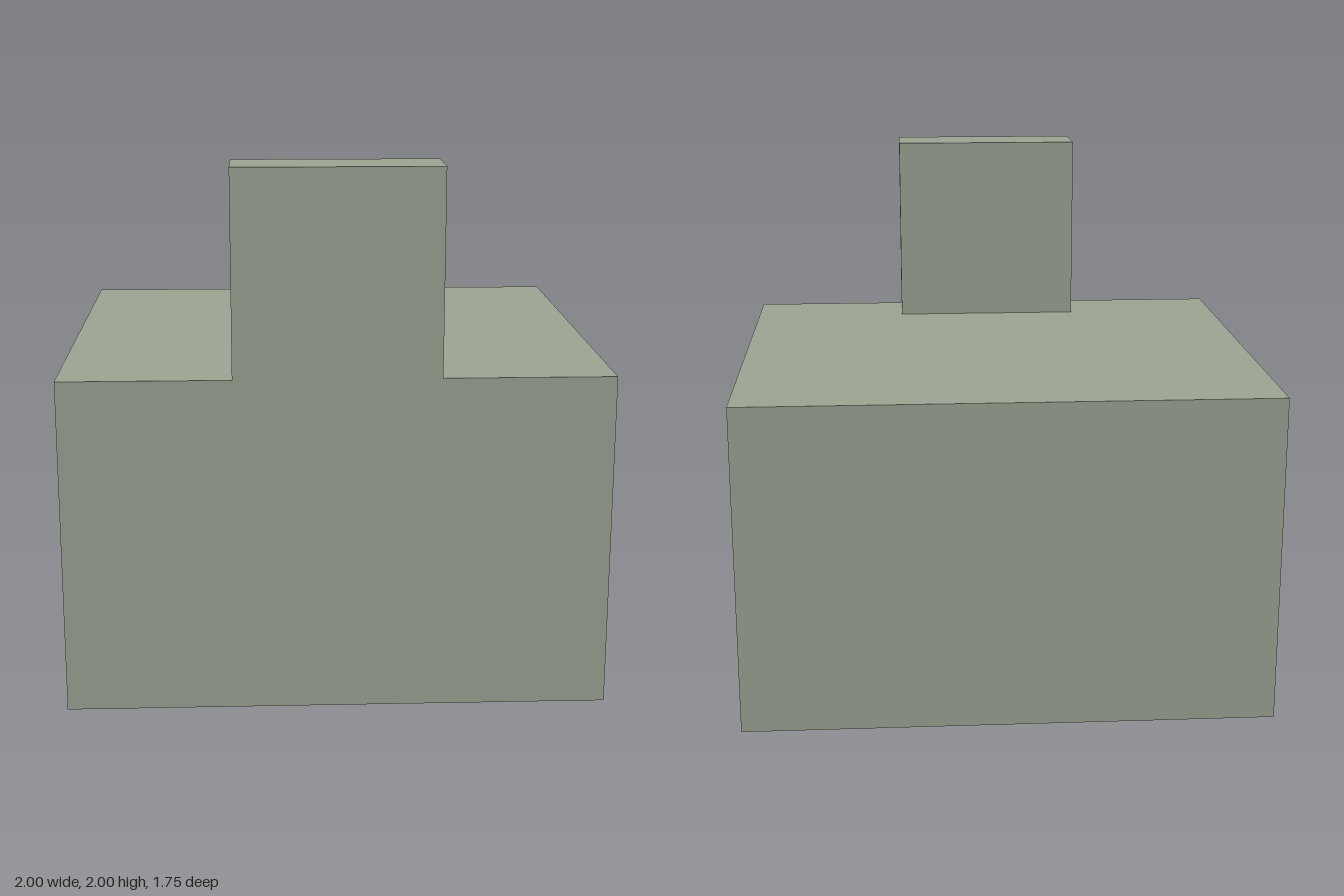
import * as THREE from 'three';

export function createModel() {
  const group = new THREE.Group();
  const sage = new THREE.MeshStandardMaterial({ color: 0x9aa291 });
  sage.name = 'sageGrey';

  // Box resting on height y
  function block(name, w, h, d, y, z) {
    const mesh = new THREE.Mesh(new THREE.BoxGeometry(w, h, d), sage);
    mesh.name = name;
    mesh.position.set(0, y + h / 2, z);
    group.add(mesh);
  }

  // Main body
  block('body', 2, 1.25, 1.75, 0, 0);
  // Upright slab, flush with the front face
  block('frontUpright', 0.75, 0.75, 0.25, 1.25, 0.75);

  return group;
}
